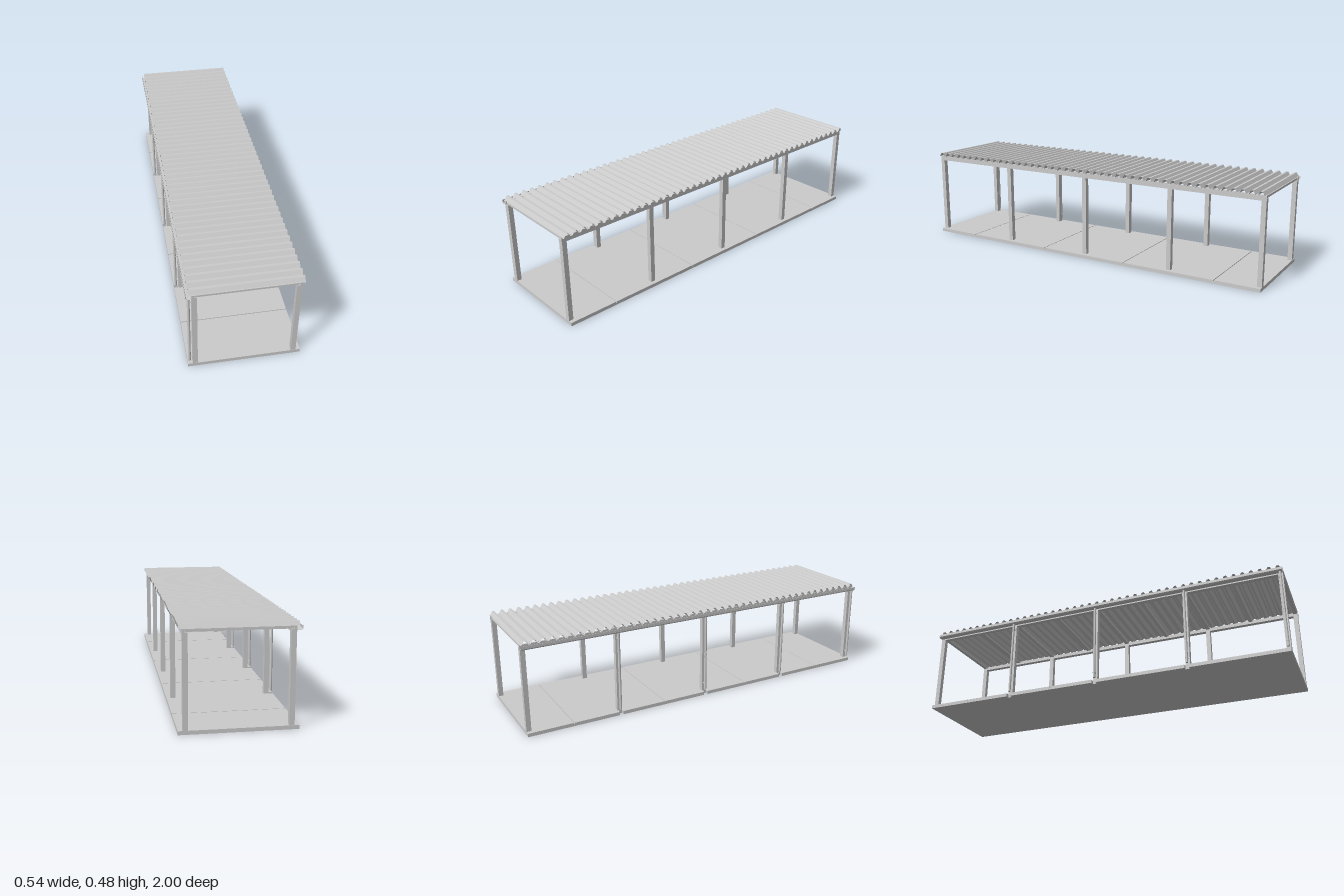
import * as THREE from 'three';

const solid = new THREE.MeshStandardMaterial({ color: 0xcccccc, flatShading: true });
const smooth = new THREE.MeshStandardMaterial({ color: 0xcccccc });
const sheet = new THREE.MeshStandardMaterial({ color: 0xcccccc, flatShading: true, side: THREE.DoubleSide });

const postZ = [0.987, 0.49, -0.01, -0.51, -0.987];

function add(parent, name, geometry, material = solid) {
  const mesh = new THREE.Mesh(geometry, material);
  mesh.name = name;
  parent.add(mesh);
  return mesh;
}

// Box given by its limits on each axis
function block(parent, name, x0, x1, y0, y1, z0, z1) {
  const mesh = add(parent, name, new THREE.BoxGeometry(x1 - x0, y1 - y0, z1 - z0));
  mesh.position.set((x0 + x1) / 2, (y0 + y1) / 2, (z0 + z1) / 2);
  return mesh;
}

// Floor plate with notches in the right edge for the downpipes
function floorPlate(parent, name, z0, z1, y, height) {
  const points = [[0.27, z0], [0.27, z1], [-0.265, z1]];
  for (const z of postZ.slice(1, 4)) {
    if (z > z0 && z < z1) {
      points.push([-0.265, z + 0.011], [-0.246, z + 0.011], [-0.246, z - 0.011], [-0.265, z - 0.011]);
    }
  }
  points.push([-0.265, z0]);
  const shape = new THREE.Shape(points.map(([x, z]) => new THREE.Vector2(x, -z)));
  const geometry = new THREE.ExtrudeGeometry(shape, { depth: height, bevelEnabled: false });
  geometry.rotateX(-Math.PI / 2);
  add(parent, name, geometry).position.y = y;
}

// Thin sheet: an outline of [a, y] pairs swept between two positions
function sweptSheet(outline, s0, s1, toPoint) {
  const geometry = new THREE.PlaneGeometry(1, 1, outline.length - 1, 1);
  const position = geometry.attributes.position;
  for (let i = 0; i < position.count; i++) {
    const [a, y] = outline[i % outline.length];
    position.setXYZ(i, ...toPoint(a, y, i < outline.length ? s0 : s1));
  }
  geometry.computeVertexNormals();
  return geometry;
}

export function createModel() {
  const model = new THREE.Group();
  model.name = 'shelter';

  // Floor: a base with separate panels on top, leaving narrow seams
  const floor = new THREE.Group();
  floor.name = 'floor';
  model.add(floor);
  floorPlate(floor, 'floorBase', -1, 1, 0, 0.012);
  const seams = [-1, -0.765, -0.26, 0.24, 0.74, 1];
  for (let i = 0; i < 5; i++) {
    const z0 = seams[i] + (i > 0 ? 0.002 : 0);
    const z1 = seams[i + 1] - (i < 4 ? 0.002 : 0);
    floorPlate(floor, 'floorPanel', z0, z1, 0.012, 0.006);
  }

  // Posts and stepped side beams
  for (const side of [-1, 1]) {
    const frame = new THREE.Group();
    frame.name = side < 0 ? 'rightFrame' : 'leftFrame';
    frame.position.x = side < 0 ? -0.231 : 0.237;
    model.add(frame);
    for (const z of postZ) block(frame, 'post', -0.012, 0.012, 0.018, 0.435, z - 0.012, z + 0.012);
    block(frame, 'sideBeam', -0.012, 0.012, 0.435, 0.447, -1, 1);
    const outer = side * 0.012, inner = side * 0.002;
    block(frame, 'sideBeamLip', Math.min(outer, inner), Math.max(outer, inner), 0.447, 0.462, -1, 1);
  }

  // Rafters at the posts and in the middle of each bay
  for (let i = 0; i < 9; i++) {
    const z = i % 2 ? (postZ[(i - 1) / 2] + postZ[(i + 1) / 2]) / 2 : postZ[i / 2];
    block(model, 'rafter', -0.231, 0.236, 0.448, 0.461, z - 0.01, z + 0.01);
  }

  // Corrugated roof sheet
  const ribs = 45, pitch = 2 / ribs;
  const wave = [];
  for (let i = 0; i < ribs; i++) {
    const z = -1 + i * pitch;
    wave.push([z, 0.461], [z + pitch * 0.12, 0.461], [z + pitch * 0.38, 0.48],
      [z + pitch * 0.62, 0.48], [z + pitch * 0.88, 0.461]);
  }
  wave.push([1, 0.461]);
  add(model, 'roof', sweptSheet(wave, -0.257, 0.263, (z, y, x) => [x, y, z]), sheet);

  // Open gutter with a rolled lip
  const channel = [[-0.27, 0.46], [-0.27, 0.447], [-0.265, 0.441], [-0.244, 0.441], [-0.244, 0.46]];
  add(model, 'gutter', sweptSheet(channel, -1, 1, (x, y, z) => [x, y, z]), sheet);
  const lip = add(model, 'gutterLip', new THREE.CylinderGeometry(0.001, 0.001, 2, 6), smooth);
  lip.rotation.x = Math.PI / 2;
  lip.position.set(-0.269, 0.46, 0);

  // Downpipes clipped to the posts
  for (const z of postZ.slice(0, 4)) {
    const pipe = new THREE.Group();
    pipe.name = 'downpipe';
    pipe.position.set(-0.2565, 0, z);
    model.add(pipe);
    add(pipe, 'pipe', new THREE.CylinderGeometry(0.0065, 0.0065, 0.41, 16), smooth).position.y = 0.236;
    for (const y of [0.06, 0.23, 0.41]) {
      add(pipe, 'pipeClip', new THREE.CylinderGeometry(0.0075, 0.0075, 0.004, 16), smooth).position.y = y;
      block(pipe, 'clipArm', 0.005, 0.0135, y - 0.0015, y + 0.0015, -0.002, 0.002);
      block(pipe, 'clipPlate', 0.0115, 0.0135, y - 0.004, y + 0.004, -0.004, 0.004);
    }
  }
  return model;
}
